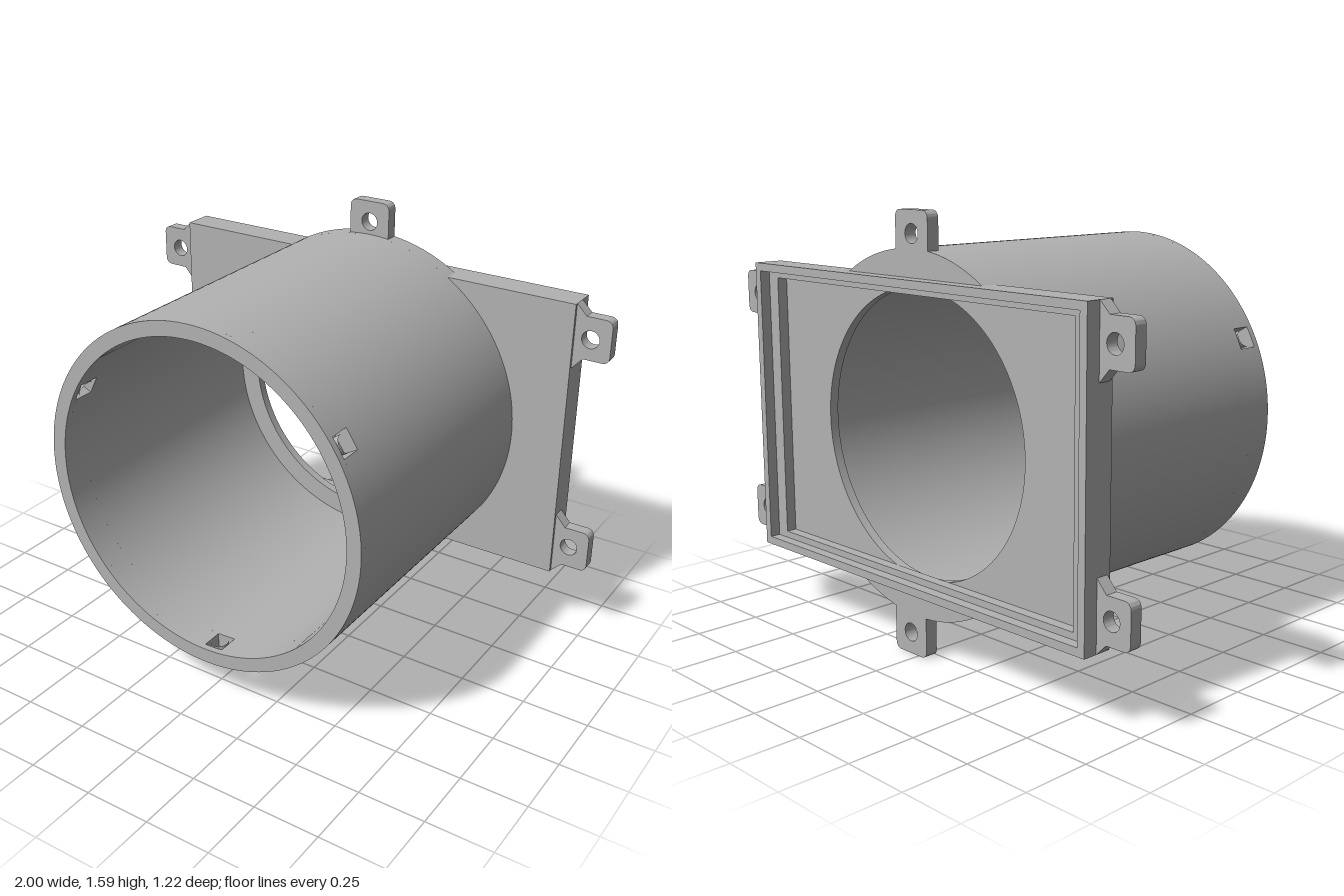
import * as THREE from 'three';
import { toCreasedNormals } from 'three/addons/utils/BufferGeometryUtils.js';

const CY = 0.805;            // height of the tube axis
const RO = 0.655, RI = 0.6;  // tube radii
const BORE = 0.52;           // opening in the plate
const PLATE_FRONT = -0.495;
const PX = 0.86, PY0 = 0.25, PY1 = 1.36; // plate outline

const grey = new THREE.MeshStandardMaterial({ color: 0xb2b2b2 });
grey.name = 'grey';

export function createModel() {
  const group = new THREE.Group();

  const add = (name, geometry) => {
    const mesh = new THREE.Mesh(toCreasedNormals(geometry, 0.5), grey);
    mesh.name = name;
    group.add(mesh);
  };
  // Extrudes a front-view shape between two depths
  const slab = (name, shape, z0, z1, segments = 24) => {
    const geo = new THREE.ExtrudeGeometry(shape, { depth: z1 - z0, bevelEnabled: false, curveSegments: segments });
    add(name, geo.translate(0, 0, z0));
  };
  const circle = (x, y, r) => new THREE.Path().absarc(x, y, r, 0, Math.PI * 2, false);
  const rect = (x, y0, y1) => new THREE.Shape([
    new THREE.Vector2(-x, y0), new THREE.Vector2(x, y0),
    new THREE.Vector2(x, y1), new THREE.Vector2(-x, y1)]);

  // Tube: plain rings on both sides of the band with the screw holes
  const holeZ = 0.545, half = 0.04, holeR = 0.033;
  const ring = new THREE.Shape().absarc(0, CY, RO, 0, Math.PI * 2, false);
  ring.holes.push(circle(0, CY, RI));
  slab('tubeBody', ring, PLATE_FRONT, holeZ - half, 120);
  slab('tubeFrontEdge', ring, holeZ + half, 0.61, 120);

  const halfAngle = half / RO;
  for (let i = 0; i < 3; i++) {
    const a = THREE.MathUtils.degToRad(33 + 120 * i);
    const a0 = a + halfAngle, a1 = a + Math.PI * 2 / 3 - halfAngle;
    const arc = new THREE.Shape();
    arc.absarc(0, CY, RO, a0, a1, false);
    arc.absarc(0, CY, RI, a1, a0, true);
    slab('tubeBand', arc, holeZ - half, holeZ + half, 40);

    // Pierced patch, bent around the tube axis
    const patch = rect(half, -half, half);
    patch.holes.push(circle(0, 0, holeR));
    const geo = new THREE.ExtrudeGeometry(patch, { depth: 1, bevelEnabled: false, curveSegments: 24 });
    const p = geo.attributes.position;
    for (let k = 0; k < p.count; k++) {
      const t = a - p.getX(k) / RO;
      const r = RI + (RO - RI) * p.getZ(k);
      p.setXYZ(k, r * Math.cos(t), CY + r * Math.sin(t), holeZ + p.getY(k));
    }
    add('screwHolePatch', geo);
  }

  // Plate floor with the round opening, then the stepped frame behind it
  const floor = rect(PX, PY0, PY1);
  floor.holes.push(circle(0, CY, BORE));
  slab('plateFloor', floor, -0.53, PLATE_FRONT, 120);
  const frame = (name, bx, by, z0, z1) => {
    const shape = rect(PX, PY0, PY1);
    shape.holes.push(rect(PX - bx, PY0 + by, PY1 - by));
    slab(name, shape, z0, z1);
  };
  frame('frameLedge', 0.085, 0.055, -0.57, -0.53);
  frame('frameRim', 0.03, 0.03, -0.61, -0.57);

  // Tube end caps that show above and below the plate
  const capAngle = Math.asin((PY1 - CY) / RO);
  for (const start of [capAngle, Math.PI + capAngle]) {
    const cap = new THREE.Shape().absarc(0, CY, RO, start, start + Math.PI - 2 * capAngle, false);
    slab('tubeEndCap', cap, -0.555, PLATE_FRONT, 48);
  }

  // Mounting tabs
  const tabBack = -0.555, tabFront = -0.507, r = 0.03;
  for (const sx of [1, -1]) for (const top of [true, false]) {
    const sy = top ? 1 : -1;
    const yEdge = top ? PY1 : PY0;
    const Y = d => yEdge - sy * d; // distance inward from the plate edge
    const s = new THREE.Shape();
    s.moveTo(sx * PX, Y(0));
    s.lineTo(sx * 0.9, Y(0.04));
    s.lineTo(sx * (1 - r), Y(0.04));
    s.quadraticCurveTo(sx, Y(0.04), sx, Y(0.04 + r));
    s.lineTo(sx, Y(0.205 - r));
    s.quadraticCurveTo(sx, Y(0.205), sx * (1 - r), Y(0.205));
    s.lineTo(sx * 0.9, Y(0.205));
    s.lineTo(sx * PX, Y(0.25));
    s.closePath();
    s.holes.push(circle(sx * 0.922, Y(0.125), 0.034));
    slab('cornerTab', s, tabBack, tabFront, 16);
  }

  const endTab = (name, cx, yRoot, yEnd) => {
    const w = 0.084, d = Math.sign(yEnd - yRoot);
    const s = new THREE.Shape();
    s.moveTo(cx - w, yRoot);
    s.lineTo(cx - w, yEnd - d * r);
    s.quadraticCurveTo(cx - w, yEnd, cx - w + r, yEnd);
    s.lineTo(cx + w - r, yEnd);
    s.quadraticCurveTo(cx + w, yEnd, cx + w, yEnd - d * r);
    s.lineTo(cx + w, yRoot);
    s.closePath();
    s.holes.push(circle(cx, yEnd - d * 0.08, 0.034));
    slab(name, s, tabBack, tabFront, 16);
  };
  endTab('topTab', 0, 1.42, 1.59);
  endTab('bottomTab', 0.04, 0.19, 0);

  return group;
}
